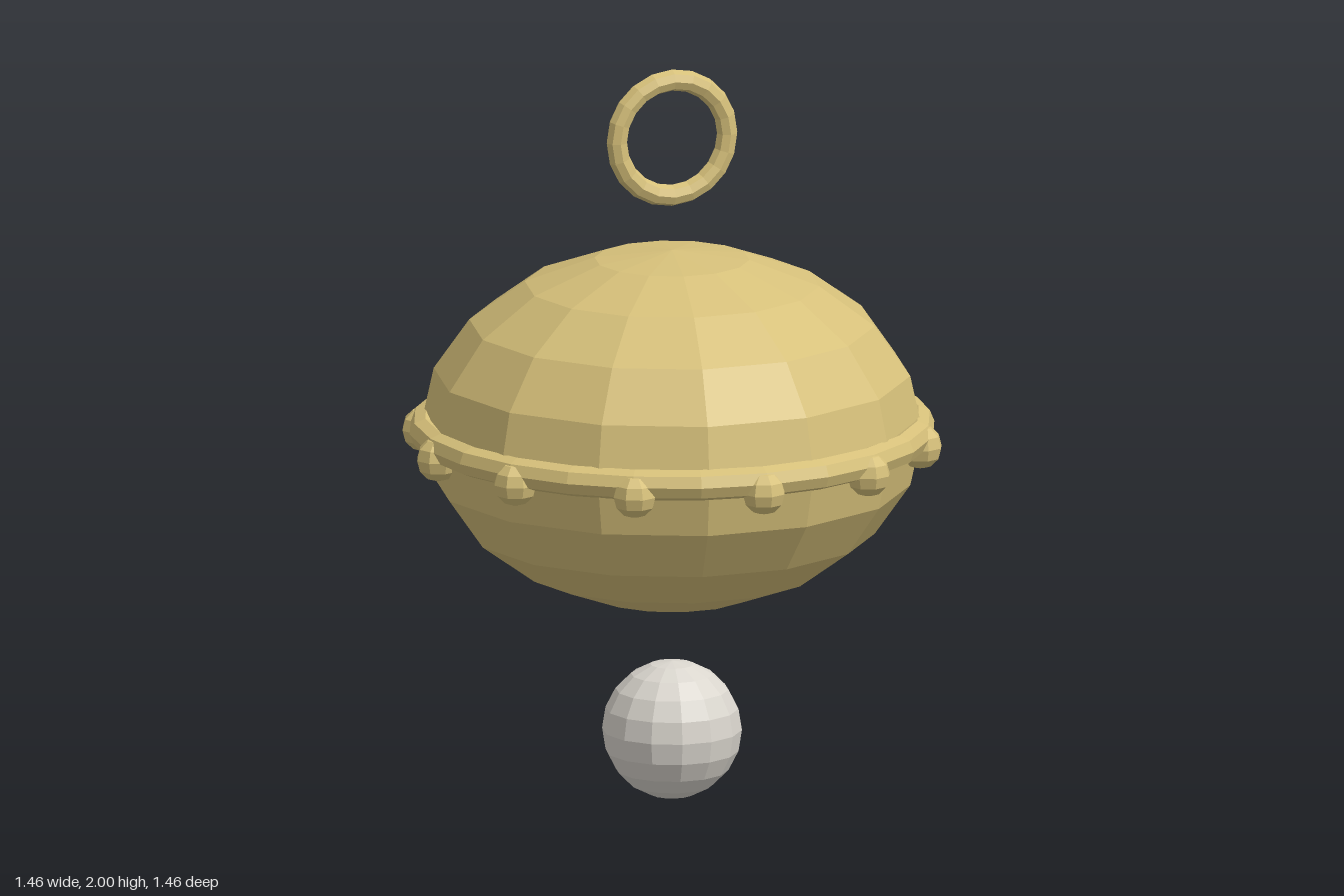
import * as THREE from 'three';

export function createModel() {
  const group = new THREE.Group();
  const gold = new THREE.MeshStandardMaterial({ color: 0xd6c07a, flatShading: true });
  const silver = new THREE.MeshStandardMaterial({ color: 0xdad6ce, flatShading: true });

  function add(name, geometry, material, x, y, z) {
    const mesh = new THREE.Mesh(geometry, material);
    mesh.name = name;
    mesh.position.set(x, y, z);
    group.add(mesh);
    return mesh;
  }

  // Flattened bell body
  const body = new THREE.SphereGeometry(0.67, 14, 10);
  body.scale(1, 0.484 / 0.67, 1);
  add('bellBody', body, gold, 0, 1.021, 0);

  // Rim band around the middle
  const band = new THREE.TorusGeometry(0.662, 0.042, 8, 24);
  band.rotateX(Math.PI / 2);
  add('rimBand', band, gold, 0, 1.018, 0);

  // Studs spaced around the band
  const stud = new THREE.SphereGeometry(0.06, 8, 6);
  for (let i = 0; i < 12; i++) {
    const a = (i / 12) * Math.PI * 2;
    add('stud' + (i + 1), stud, gold, 0.67 * Math.cos(a), 0.99, 0.67 * Math.sin(a));
  }

  // Hanging ring above
  add('hangingRing', new THREE.TorusGeometry(0.158, 0.029, 8, 20), gold, 0, 1.813, 0);

  // Clapper ball below
  add('clapperBall', new THREE.SphereGeometry(0.187, 14, 10), silver, 0, 0.192, 0);

  return group;
}
